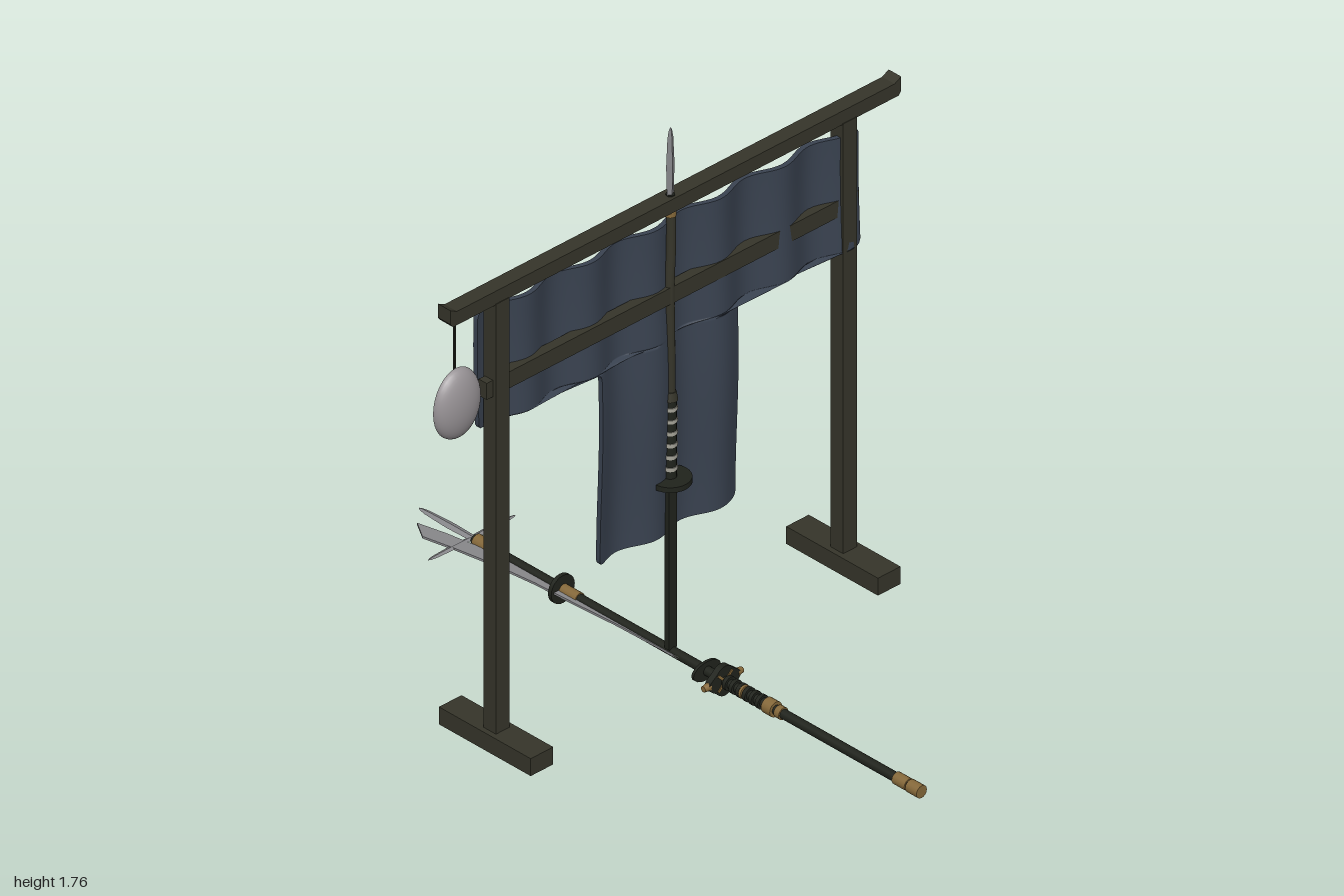
import * as THREE from 'three';

const mat = (name, hex, side = THREE.FrontSide) => {
  const m = new THREE.MeshStandardMaterial({ color: hex, side });
  m.name = name;
  return m;
};

export function createModel() {
  const root = new THREE.Group();
  root.name = 'weaponRack';
  const wood = mat('darkWood', 0x36352a);
  const cloth = mat('navyCloth', 0x3a4351);
  const lacquer = mat('blackLacquer', 0x20231c);
  const gold = mat('agedBrass', 0x86693a);
  const steel = mat('steel', 0x87878a, THREE.DoubleSide);
  const pale = mat('paleWrap', 0xa5a398);
  const straw = mat('paleHat', 0x989396, THREE.DoubleSide);
  const CX = 0.025;

  const add = (parent, name, geo, m, x = 0, y = 0, z = 0) => {
    const mesh = new THREE.Mesh(geo, m);
    mesh.name = name;
    mesh.position.set(x, y, z);
    parent.add(mesh);
    return mesh;
  };
  const box = (parent, name, m, x0, x1, y0, y1, z0, z1) =>
    add(parent, name, new THREE.BoxGeometry(x1 - x0, y1 - y0, z1 - z0), m, (x0 + x1) / 2, (y0 + y1) / 2, (z0 + z1) / 2);
  // round part along y, from a to b
  const rod = (parent, name, m, a, b, r, r2 = r, seg = 16) =>
    add(parent, name, new THREE.CylinderGeometry(r2, r, b - a, seg), m, 0, (a + b) / 2, 0);
  const plate = (pts, depth) => {
    const g = new THREE.ExtrudeGeometry(new THREE.Shape(pts.map(p => new THREE.Vector2(...p))), { depth, bevelEnabled: false });
    g.translate(0, 0, -depth / 2);
    return g;
  };
  // double-edged blade along +y with a diamond section
  const bladeGeo = (len, w, t) => {
    const sections = [[0, 0.8], [0.45, 1], [0.85, 0.7], [0.96, 0.4], [1, 0.05]];
    const pos = [];
    const ring = ([f, k]) => [[w * k, 0], [0, t * k], [-w * k, 0], [0, -t * k]].map(([x, z]) => [x, f * len, z]);
    for (let i = 0; i < sections.length - 1; i++) {
      const a = ring(sections[i]), b = ring(sections[i + 1]);
      for (let j = 0; j < 4; j++) {
        const k = (j + 1) % 4;
        pos.push(...a[j], ...b[j], ...a[k], ...a[k], ...b[j], ...b[k]);
      }
    }
    const g = new THREE.BufferGeometry();
    g.setAttribute('position', new THREE.Float32BufferAttribute(pos, 3));
    g.computeVertexNormals();
    return g;
  };

  // frame: posts, feet, top beam with upturned ends, cross rail
  const frame = new THREE.Group();
  frame.name = 'frame';
  root.add(frame);
  for (const s of [-1, 1]) {
    const x = CX + s * 0.6625;
    box(frame, 'post', wood, x - 0.026, x + 0.026, 0.08, 1.5, -0.026, 0.024);
    box(frame, 'foot', wood, x - 0.043, x + 0.043, 0.035, 0.092, -0.185, 0.18);
  }
  add(frame, 'topBeam', plate([[-0.85, 1.497], [0.85, 1.497], [0.86, 1.51], [0.86, 1.555], [0.835, 1.542],
    [-0.835, 1.542], [-0.86, 1.555], [-0.86, 1.51]], 0.05), wood, CX, 0, -0.003);
  box(frame, 'crossRail', wood, -0.687, 0.733, 1.192, 1.246, -0.02, 0.012);

  // robe: a T outline of half widths by height, rippled in depth
  const outline = [[1.45, 0.692], [1.446, 0.703], [1.435, 0.709], [1.09, 0.71], [1.079, 0.703], [1.075, 0.69],
    [1.073, 0.285], [1.065, 0.267], [1.05, 0.262], [0.45, 0.261], [0.439, 0.256], [0.435, 0.243]];
  const rows = [];
  for (let i = 0; i < outline.length - 1; i++) {
    const [y0, w0] = outline[i], [y1, w1] = outline[i + 1];
    const n = Math.max(1, Math.round((y0 - y1) / 0.03));
    for (let j = 0; j < n; j++) rows.push([y0 + (y1 - y0) * j / n, w0 + (w1 - w0) * j / n]);
  }
  rows.push(outline[outline.length - 1]);
  const robe = new THREE.BoxGeometry(2, 1, 0.016, 84, rows.length - 1, 1);
  const p = robe.attributes.position;
  for (let i = 0; i < p.count; i++) {
    const [y, w] = rows[Math.round((0.5 - p.getY(i)) * (rows.length - 1))];
    const x = CX + p.getX(i) * w;
    const z = -0.0145 + 0.02 * x + 0.016 * Math.cos((x + 0.03) * Math.PI * 2 / 0.24)
      + 0.006 * Math.cos((y - 0.9) * Math.PI * 2 / 0.9);
    p.setXYZ(i, x, y, z + p.getZ(i));
  }
  robe.computeVertexNormals();
  add(root, 'robe', robe, cloth);

  // hanging domed hat and cord
  const hat = add(root, 'hat', new THREE.SphereGeometry(1, 32, 12, 0, Math.PI * 2, 0, Math.PI / 2).rotateX(Math.PI / 2),
    straw, -0.802, 1.233, 0.008);
  hat.scale.set(0.086, 0.113, 0.045);
  box(root, 'hatCord', lacquer, -0.805, -0.799, 1.34, 1.5, 0, 0.006);

  // upright weapon
  const upright = new THREE.Group();
  upright.name = 'uprightWeapon';
  upright.position.x = CX;
  root.add(upright);
  const path = new THREE.CatmullRomCurve3([[0, 0.88], [-0.001, 1.1], [-0.003, 1.25], [0.002, 1.36], [0.003, 1.48]]
    .map(([x, y]) => new THREE.Vector3(x, y, 0)));
  add(upright, 'shaft', new THREE.TubeGeometry(path, 24, 0.0145, 12), wood);
  rod(upright, 'collar', gold, 1.475, 1.5, 0.017);
  rod(upright, 'socket', lacquer, 1.5, 1.545, 0.013);
  add(upright, 'tip', bladeGeo(0.225, 0.016, 0.009), steel, 0, 1.537, 0);
  rod(upright, 'grip', lacquer, 0.615, 0.89, 0.018);
  rod(upright, 'pommel', wood, 0.872, 0.9, 0.022, 0.017);
  for (let i = 0; i < 6; i++) rod(upright, 'gripBand', pale, 0.645 + i * 0.039, 0.657 + i * 0.039, 0.0205);
  rod(upright, 'guard', lacquer, 0.603, 0.62, 0.061, 0.061, 28);
  box(upright, 'scabbard', lacquer, -0.016, 0.013, 0.06, 0.605, -0.006, 0.012);
  box(upright, 'bladeBack', steel, -0.012, 0.016, 0.06, 0.605, -0.011, -0.006);

  // weapon lying on the floor; local +y points to the back
  const lying = new THREE.Group();
  lying.name = 'lyingSpear';
  lying.position.set(CX, 0.05, 0);
  lying.rotation.x = -Math.PI / 2;
  root.add(lying);
  rod(lying, 'spearShaft', lacquer, -0.99, 0.78, 0.0145);
  for (const [a, b, r] of [[-1, -0.955, 0.02], [-0.95, -0.9, 0.019], [-0.45, -0.43, 0.019], [-0.42, -0.385, 0.024],
    [-0.3, -0.28, 0.021], [0.36, 0.425, 0.018], [0.67, 0.7, 0.018], [0.7, 0.77, 0.021]])
    rod(lying, 'brassFitting', gold, a, b, r);
  for (let i = 0; i < 6; i++) rod(lying, 'gripBand', lacquer, -0.37 + i * 0.026, -0.358 + i * 0.026, 0.022);
  // lobed guard with brass trim
  const lobes = [];
  for (let i = 0; i < 48; i++) {
    const a = i * Math.PI / 24, r = 0.052 + 0.005 * Math.cos(4 * a);
    lobes.push([r * 1.05 * Math.cos(a), r * 0.84 * Math.sin(a)]);
  }
  const guard = add(lying, 'lobedGuard', plate(lobes, 0.02), lacquer, 0, -0.208, 0);
  guard.rotation.x = Math.PI / 2;
  for (const s of [-1, 1]) {
    const stud = add(lying, 'guardStud', new THREE.CylinderGeometry(0.009, 0.013, 0.022, 12), gold, s * 0.063, -0.208, 0);
    stud.rotation.z = -s * Math.PI / 2;
    const bar = add(lying, 'guardInlay', new THREE.BoxGeometry(0.075, 0.004, 0.008), gold, 0, -0.219, 0);
    bar.rotation.y = s * Math.PI / 4;
  }
  rod(lying, 'frontDisc', lacquer, -0.147, -0.138, 0.03).scale.x = 1.75;
  rod(lying, 'rearDisc', lacquer, 0.427, 0.44, 0.045, 0.045, 24);
  // cross-shaped spear head
  add(lying, 'spearTip', bladeGeo(0.23, 0.016, 0.006), steel, 0, 0.77, 0);
  for (const s of [-1, 1])
    add(lying, 'crossBlade', bladeGeo(0.166, 0.011, 0.0045), steel, 0, 0.79, 0).rotation.z = s * Math.PI / 2;
  // curved blade beside the shaft
  add(lying, 'curvedBlade', plate([[-0.01, -0.2], [0.01, -0.2], [0.01, 0.3], [-0.002, 0.55], [-0.022, 0.75], [-0.038, 0.85],
    [-0.06, 0.945], [-0.097, 0.885], [-0.075, 0.78], [-0.053, 0.65], [-0.037, 0.5], [-0.03, 0.35], [-0.02, 0.2]], 0.007), steel);
  return root;
}
